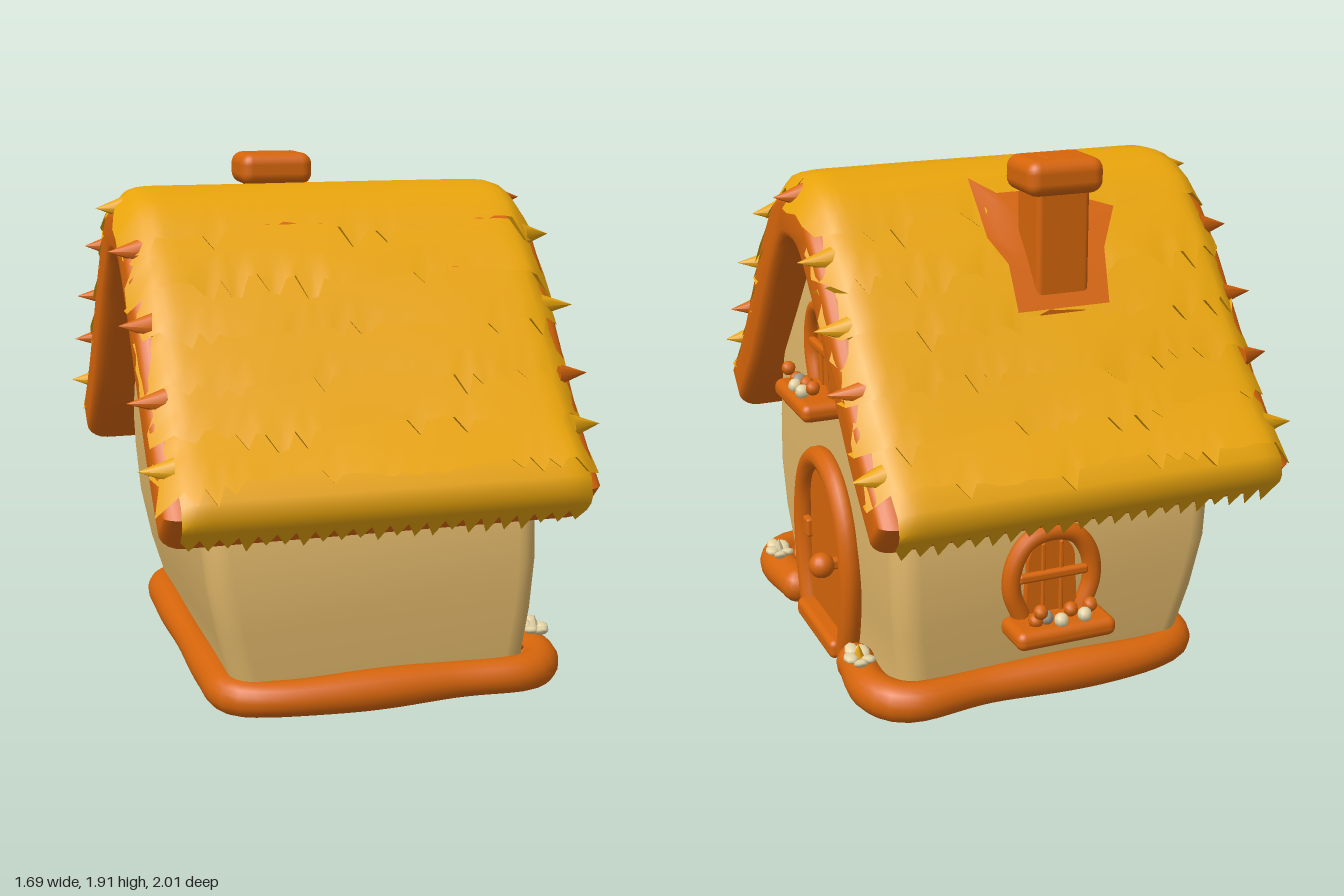
import * as THREE from 'three';
import { mergeVertices, toCreasedNormals } from 'three/addons/utils/BufferGeometryUtils.js';
import { RoundedBoxGeometry } from 'three/addons/geometries/RoundedBoxGeometry.js';

const material = (name, color, side = THREE.FrontSide) => {
  const m = new THREE.MeshStandardMaterial({ color, side });
  m.name = name;
  return m;
};

export function createModel() {
  const wood = material('orange wood', 0xd6650b, THREE.DoubleSide);
  const straw = material('yellow straw', 0xeaa50b, THREE.DoubleSide);
  const plaster = material('cream plaster', 0xe0b76a, THREE.DoubleSide);
  const petal = material('pale petal', 0xe2d2a4);
  const stone = material('grey stone', 0x9a9482);

  let seed = 7;
  const rand = () => (seed = (seed * 16807) % 2147483647) / 2147483647;
  const V = (x, y, z = 0) => new THREE.Vector3(x, y, z);

  const house = new THREE.Group();
  house.name = 'cottage';
  const add = (parent, name, geo, mat, x = 0, y = 0, z = 0) => {
    const mesh = new THREE.Mesh(geo, mat);
    mesh.name = name;
    mesh.position.set(x, y, z);
    parent.add(mesh);
    return mesh;
  };
  const box = (w, h, d, r = 0.03) => new RoundedBoxGeometry(w, h, d, 3, r);

  // Surface from a rule f(i, j) giving [x, y, z]; the front faces along i x j
  const grid = (f, ni, nj) => {
    const pos = [], idx = [];
    for (let i = 0; i <= ni; i++) for (let j = 0; j <= nj; j++) pos.push(...f(i, j));
    for (let i = 0; i < ni; i++) for (let j = 0; j < nj; j++) {
      const a = i * (nj + 1) + j, b = a + nj + 1;
      idx.push(a, b, a + 1, a + 1, b, b + 1);
    }
    let g = new THREE.BufferGeometry();
    g.setAttribute('position', new THREE.Float32BufferAttribute(pos, 3));
    g.setIndex(idx);
    g = mergeVertices(g, 1e-5);
    g.computeVertexNormals();
    return g;
  };

  // Roof profile: s = 0 at the ridge, 1 at the front eave, -1 at the back eave
  const half = [[0.13, 1.635], [0.3, 1.475], [0.47, 1.255], [0.665, 1.0], [0.79, 0.865], [0.865, 0.79]];
  const profile = new THREE.CatmullRomCurve3([
    ...half.map(([z, y]) => V(-z, y)).reverse(), V(0, 1.66), ...half.map(([z, y]) => V(z, y))]);
  const roofAt = (s, off) => {
    const c = Math.max(-1, Math.min(1, s)), t = 0.5 + 0.5 * c;
    const p = profile.getPointAt(t), d = profile.getTangentAt(t), e = (s - c) * 1.2;
    return [p.x + d.x * e - d.y * off, p.y + d.y * e + d.x * off];
  };

  // Walls: rounded rectangles lofted upwards, open below
  const rings = [ // y, half depth, right x, left x
    [0.02, 0.69, 0.625, -0.48], [0.13, 0.705, 0.62, -0.49], [0.3, 0.72, 0.64, -0.54],
    [0.5, 0.735, 0.65, -0.58], [0.7, 0.72, 0.65, -0.6], [0.83, 0.69, 0.65, -0.61],
    [1.0, 0.64, 0.65, -0.61], [1.2, 0.485, 0.64, -0.61], [1.4, 0.335, 0.63, -0.6], [1.6, 0.13, 0.62, -0.6]];
  add(house, 'walls', grid((i, j) => {
    const [y, hz, x1, x0] = rings[i], r = 0.09;
    const k = Math.floor((j % 24) / 6), a = (k + ((j % 24) % 6) / 5) * Math.PI / 2;
    const cx = k === 0 || k === 3 ? x1 - r : x0 + r, cz = k < 2 ? hz - r : r - hz;
    return [cx + r * Math.cos(a), y, cz + r * Math.sin(a) - 0.012];
  }, rings.length - 1, 24), plaster);

  // Footing: lumpy roll hugging the walls, broken at the door
  const foot = [[0.69, 0.34], [0.7, 0.6], [0.62, 0.7], [0.3, 0.705], [-0.35, 0.705], [-0.48, 0.64], [-0.5, 0.4],
    [-0.5, -0.4], [-0.48, -0.66], [-0.35, -0.735], [0.3, -0.735], [0.62, -0.74], [0.7, -0.63], [0.69, -0.39]];
  const footCurve = new THREE.CatmullRomCurve3(foot.map(([x, z]) => V(x, 0.073, z)));
  add(house, 'footing', grid((i, j) => {
    const p = footCurve.getPointAt(i / 100), d = footCurve.getTangentAt(i / 100);
    const a = (140 - 270 * j / 14) * Math.PI / 180, r = 0.07 + 0.005 * Math.sin(i * 0.35);
    return [p.x + d.z * r * Math.cos(a), p.y + r * Math.sin(a), p.z - d.x * r * Math.cos(a)];
  }, 100, 14), wood);
  for (const [x, z] of [foot[0], foot[foot.length - 1]])
    add(house, 'footingEnd', new THREE.SphereGeometry(0.072, 14, 10), wood, x, 0.073, z);

  // Roof slab with rolled edges
  const steps = Array.from({ length: 41 }, (_, i) => -1 + i / 20);
  const outline = [...steps.map(s => roofAt(s, 0.05)), ...steps.map(s => roofAt(-s, -0.05))];
  const slabGeo = new THREE.ExtrudeGeometry(new THREE.Shape(outline.map(p => new THREE.Vector2(...p))),
    { depth: 1.38, bevelThickness: 0.085, bevelSize: 0.045, bevelSegments: 5 });
  slabGeo.translate(0, 0, -0.69).rotateY(Math.PI / 2);
  slabGeo.deleteAttribute('uv');
  add(house, 'roofSlab', toCreasedNormals(slabGeo, 0.8), wood);

  // Straw lining inside the walls
  add(house, 'ceiling', grid((i, j) => {
    const [z, y] = roofAt(-0.87 + i * 0.10875, -0.14);
    return [-0.59 + 1.2 * j, y, z];
  }, 16, 1), straw);

  // Thatch: overlapping rows with ragged lower edges, rolled over at the gables
  const COLS = 44;
  const rollOver = x => 0.05 * Math.max(0, (Math.abs(x) - 0.58) / 0.17) ** 4;
  const thatchRow = (s0, s1, o0) => {
    const jag = [], ends = [], phase = rand() * 6;
    for (let j = 0; j <= COLS; j++) jag.push(rand() < 0.22 ? 0.06 * (0.5 + 0.7 * rand()) : 0.015 * rand());
    for (let i = 0; i < 12; i++) ends.push(0.75 + 0.045 * rand());
    return toCreasedNormals(grid((i, j) => {
      const v = Math.min(i / 4, 1), side = -1 + 2 * j / COLS;
      const x = side * (Math.abs(side) > 0.97 ? ends[i * 2 + (side > 0 ? 1 : 0)] : 0.74);
      const wave = Math.sin(x * 8 + phase);
      const s = s0 + (s1 - s0) * v + v * 0.016 * wave + (i >= 4 ? jag[j] : 0) - (i === 5 ? 0.03 : 0);
      const off = o0 + (0.16 - o0) * v - rollOver(x) + (s0 > 0 ? 0.006 * wave * v : 0) - (i === 5 ? 0.04 : 0);
      const [z, y] = roofAt(s, off);
      return [x, y, z];
    }, 5, COLS), 0.8);
  };

  // Eave skirt: straw bent down over the slab's lower edge, ending in teeth
  const bend = [[0.82, 0.12], [0.93, 0.14], [1.01, 0.145], [1.055, 0.11], [1.065, 0.06], [1.065, 0.015]]; // s, offset
  const eaveSkirt = () => toCreasedNormals(grid((i, j) => {
    const x = (-1 + 2 * j / COLS) * 0.72, [s, off] = bend[i];
    const tooth = i === 5 && j % 2 ? 0.045 + 0.03 * rand() : 0;
    const [z, y] = roofAt(s + tooth * 0.2, off - tooth - (i < 4 ? rollOver(x) : 0));
    return [x, y, z];
  }, 5, COLS), 0.8);

  for (const turn of [0, Math.PI]) {
    const side = new THREE.Group();
    side.name = turn ? 'backThatch' : 'frontThatch';
    side.rotation.y = turn;
    house.add(side);
    for (let i = 0; i < 6; i++)
      add(side, 'thatchRow', thatchRow(i * 0.155, i * 0.155 + 0.18, i ? 0.125 : 0.16), straw);
    add(side, 'eaveSkirt', eaveSkirt(), straw);
  }

  // Straw ends poking out along the gable edges
  for (const dir of [-1, 1]) for (let i = 0; i < 9; i++) {
    const s = -0.9 + i * 0.215 + 0.06 * rand(), [z, y] = roofAt(s, 0.085);
    const tuft = add(house, 'strawEnd', new THREE.ConeGeometry(0.045, 0.11 + 0.03 * rand(), 8),
      (dir < 0 ? i % 4 : i % 3 === 1) ? wood : straw, dir * 0.775, y, z);
    tuft.rotation.z = -dir * Math.PI / 2;
    tuft.rotation.y = 0.4 * (rand() - 0.5);
  }

  // Chimney and the bare patch around its foot
  add(house, 'chimneyShaft', box(0.2, 0.48, 0.18, 0.02), wood, -0.055, 1.58, -0.46);
  add(house, 'chimneyCap', box(0.29, 0.125, 0.235, 0.045), wood, -0.055, 1.845, -0.465);
  add(house, 'chimneyPot', box(0.11, 0.02, 0.09, 0.008), wood, -0.055, 1.9, -0.465);
  const patch = [[-0.35, -0.2], [-0.24, -0.17], [-0.2, -0.08], [-0.12, -0.14], [0.08, -0.14],
    [0.16, -0.1], [0.17, -0.26], [0.12, -0.34], [0.13, -0.48], [-0.22, -0.48], [-0.26, -0.32]];
  add(house, 'chimneyPatch', grid((i, j) => {
    const [px, ps] = patch[j % patch.length], k = i / 4;
    const [z, y] = roofAt(-0.3 + (ps + 0.3) * k, 0.172);
    return [-0.05 + (px + 0.05) * k, y, z];
  }, 4, patch.length), wood);

  // Arched panel, w = half width, h = full height
  const archPanel = (w, h, depth) => {
    const s = new THREE.Shape();
    s.moveTo(-w, 0).lineTo(w, 0).lineTo(w * 0.9, h - w * 0.9).absarc(0, h - w * 0.9, w * 0.9, 0, Math.PI).lineTo(-w, 0);
    return new THREE.ExtrudeGeometry(s, { depth, bevelEnabled: false, curveSegments: 14 });
  };
  const archTube = (pts, r) => new THREE.TubeGeometry(
    new THREE.CatmullRomCurve3(pts.map(([x, y]) => V(x, y, 0))), 44, r, 10);

  // Window with arched frame, bars and a sill of small pots
  const makeWindow = (x, y, z, turn) => {
    const w = new THREE.Group();
    w.name = 'window';
    w.position.set(x, y, z);
    w.rotation.y = turn;
    house.add(w);
    add(w, 'windowFrame', archTube([[-0.12, 0.02], [-0.155, 0.12], [-0.145, 0.22], [-0.09, 0.3], [0, 0.325],
      [0.09, 0.3], [0.145, 0.22], [0.155, 0.12], [0.12, 0.02]], 0.034), wood, 0, 0, 0.015);
    add(w, 'shutter', archPanel(0.1, 0.29, 0.03), wood, 0, 0.01, -0.015);
    for (const bx of [-0.035, 0.035]) add(w, 'uprightBar', box(0.014, 0.27, 0.02, 0.005), wood, bx, 0.15, 0.015);
    add(w, 'crossBar', box(0.27, 0.035, 0.03, 0.012), wood, 0, 0.165, 0.025);
    add(w, 'sill', box(0.38, 0.07, 0.18), wood, 0, -0.015, 0.075);
    [[-0.1, 0.035, wood], [-0.095, 0.08, wood], [-0.06, 0.04, stone], [-0.015, 0.035, petal],
      [0.035, 0.055, wood], [0.075, 0.04, petal], [0.11, 0.06, wood]].forEach(([px, py, m], i) =>
      add(w, 'sillPot', new THREE.SphereGeometry(0.027, 8, 6), m, px, py, 0.1 + 0.03 * (i % 2)));
  };
  makeWindow(0.64, 1.0, -0.02, Math.PI / 2);
  makeWindow(0.08, 0.32, -0.755, Math.PI);

  // Door
  const door = new THREE.Group();
  door.name = 'door';
  door.position.set(0.65, 0, -0.02);
  door.rotation.y = Math.PI / 2;
  house.add(door);
  add(door, 'doorFrame', archTube([[-0.22, 0.04], [-0.265, 0.2], [-0.28, 0.4], [-0.24, 0.57], [-0.14, 0.69], [0, 0.735],
    [0.14, 0.69], [0.24, 0.57], [0.28, 0.4], [0.265, 0.2], [0.22, 0.04]], 0.044), wood, 0, 0, 0.025);
  add(door, 'doorPanel', archPanel(0.21, 0.68, 0.035), wood, 0, 0.02, -0.01);
  add(door, 'doorStep', box(0.44, 0.075, 0.1, 0.025), wood, 0, 0.052, 0.04);
  add(door, 'knobStem', box(0.04, 0.04, 0.07, 0.01), wood, 0.195, 0.4, 0.05);
  add(door, 'knob', new THREE.SphereGeometry(0.048, 16, 12), wood, 0.195, 0.4, 0.105);
  add(door, 'hinge', box(0.06, 0.075, 0.03, 0.01), wood, -0.215, 0.385, 0.03);

  // Small flowers on the footing either side of the door
  for (const z of [0.5, -0.52]) {
    const flower = new THREE.Group();
    flower.name = 'flower';
    flower.position.set(0.72, 0.145, z);
    house.add(flower);
    for (let i = 0; i < 5; i++) {
      const a = i * Math.PI * 0.4;
      const leaf = add(flower, 'petal', new THREE.SphereGeometry(0.034, 8, 6), petal,
        0.03 * Math.cos(a), 0.02, 0.055 * Math.sin(a));
      leaf.scale.set(0.8, 0.45, 1.1);
      leaf.rotation.x = -0.5 * Math.sin(a);
    }
    add(flower, 'bud', new THREE.ConeGeometry(0.025, 0.06, 6), z > 0 ? petal : straw, 0, 0.04, 0);
  }
  return house;
}
